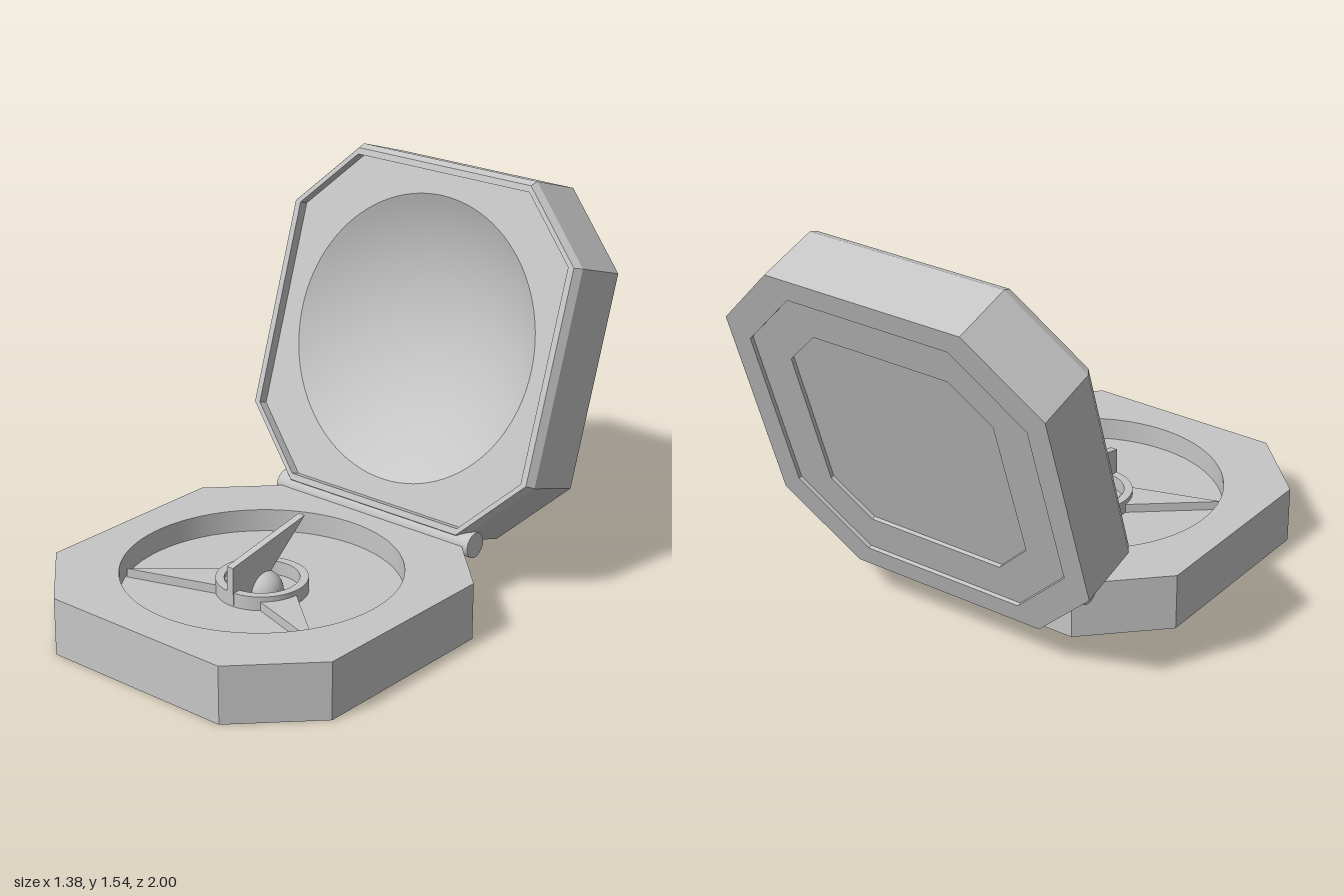
import * as THREE from 'three';
import { mergeGeometries } from 'three/addons/utils/BufferGeometryUtils.js';

const grey = new THREE.MeshStandardMaterial({ color: 0xc6c6c6 });
grey.name = 'plain grey';

function part(name, geometry, parent) {
  const mesh = new THREE.Mesh(geometry, grey);
  mesh.name = name;
  parent.add(mesh);
  return mesh;
}

// Square with cut corners: h = half width, f = half length of each straight side
function octagon(h, f) {
  return [[h, -f], [h, f], [f, h], [-f, h], [-h, f], [-h, -f], [-f, -h], [f, -h]];
}

// Joins octagon rings [half, flat, z], giving flat faces
function octagonLoft(rings) {
  const pos = [];
  for (let r = 0; r < rings.length - 1; r++) {
    const [h0, f0, z0] = rings[r], [h1, f1, z1] = rings[r + 1];
    const lo = octagon(h0, f0), hi = octagon(h1, f1);
    for (let i = 0; i < 8; i++) {
      const j = (i + 1) % 8;
      const a = [...lo[i], z0], b = [...lo[j], z0], c = [...hi[j], z1], d = [...hi[i], z1];
      if (h0 > 0) pos.push(...a, ...b, ...c);
      pos.push(...(h0 > 0 ? a : lo[0].concat(z0)), ...c, ...d);
    }
  }
  const g = new THREE.BufferGeometry();
  g.setAttribute('position', new THREE.Float32BufferAttribute(pos, 3));
  g.computeVertexNormals();
  return g;
}

// Octagonal plate with a round hole
function holedPlate(h, f, radius, z) {
  const shape = new THREE.Shape(octagon(h, f).map(p => new THREE.Vector2(...p)));
  shape.holes.push(new THREE.Path().absarc(0, 0, radius, 0, Math.PI * 2, true));
  return new THREE.ShapeGeometry(shape, 48).translate(0, 0, z);
}

// Turned form about z with a hard edge at every profile point
function turned(points) {
  const bands = [];
  for (let i = 0; i < points.length - 1; i++) {
    bands.push(new THREE.LatheGeometry(
      [new THREE.Vector2(...points[i]), new THREE.Vector2(...points[i + 1])], 96));
  }
  return mergeGeometries(bands).rotateX(Math.PI / 2);
}

export function createModel() {
  const model = new THREE.Group();
  model.name = 'pocketSundial';
  const TOP = 0.225, FLOOR = 0.135, MID = 0.325;

  // Base, built lying in xy and then laid flat
  const base = new THREE.Group();
  base.name = 'base';
  base.rotation.x = -Math.PI / 2;
  base.position.z = MID;
  model.add(base);
  part('baseBody', octagonLoft([[0, 0, 0], [0.675, 0.4, 0], [0.675, 0.4, TOP]]), base);
  part('baseTop', holedPlate(0.675, 0.4, 0.527, TOP), base);
  part('dialRecess', turned([[0.527, TOP], [0.527, FLOOR], [0, FLOOR]]), base);

  // Compass ring, pivot ball and tapered arms
  part('compassRing', turned([[0.173, FLOOR], [0.173, 0.19], [0.14, 0.19], [0.14, FLOOR]]), base);
  part('pivotBall', new THREE.SphereGeometry(0.08, 32, 20), base).position.z = FLOOR;
  for (const s of [-1, 1]) {
    const pts = [[s * 0.46, -0.245], [s * 0.13, 0.03], [s * 0.1, -0.13]];
    const arm = new THREE.Shape(pts.map(p => new THREE.Vector2(...p)));
    const g = new THREE.ExtrudeGeometry(arm, { depth: 0.035, bevelEnabled: false });
    part(s > 0 ? 'leftArm' : 'rightArm', g.translate(0, 0, FLOOR), base);
  }

  // Gnomon: thin slanted blade in the yz plane
  const blade = new THREE.Shape([[-0.5, 0.14], [-0.37, 0.143], [-0.1, 0.365], [-0.5, 0.29]]
    .map(p => new THREE.Vector2(...p)));
  const bladeGeo = new THREE.ExtrudeGeometry(blade, { depth: 0.03, bevelEnabled: false });
  part('gnomon', bladeGeo.translate(0, 0, -0.015).rotateY(Math.PI / 2), model);

  // Hinge pin
  const hinge = part('hingePin',
    new THREE.CylinderGeometry(0.05, 0.05, 0.95, 32).rotateZ(Math.PI / 2), model);
  hinge.position.set(0, 0.22, -0.35);

  // Lid, leaning back; local z runs from its back to its open face
  const lid = new THREE.Group();
  lid.name = 'lid';
  lid.rotation.x = THREE.MathUtils.degToRad(-18.1);
  lid.position.set(0, 0.8075, -0.785);
  model.add(lid);
  part('lidShell', octagonLoft([
    [0, 0, 0.03], [0.44, 0.29, 0.03], [0.44, 0.29, 0.015],   // inner back panel
    [0.6, 0.343, 0.015], [0.6, 0.343, 0],                    // outer back panel
    [0.69, 0.415, 0], [0.69, 0.415, 0.25],                   // sides
    [0.67, 0.412, 0.28], [0.645, 0.41, 0.28], [0.645, 0.41, 0.24], // bevelled rim
  ]), lid);
  part('lidPanel', holedPlate(0.645, 0.41, 0.56, 0.24), lid);

  // Spherical dish sunk into the lid
  const R = 0.56, depth = 0.185;
  const sphere = (R * R + depth * depth) / (2 * depth);
  const edge = Math.asin(R / sphere);
  const profile = [];
  for (let i = 0; i <= 20; i++) {
    const a = edge * (1 - i / 20);
    profile.push(new THREE.Vector2(sphere * Math.sin(a), 0.24 - depth + sphere * (1 - Math.cos(a))));
  }
  part('lidDish', new THREE.LatheGeometry(profile, 96).rotateX(Math.PI / 2), lid);

  return model;
}
